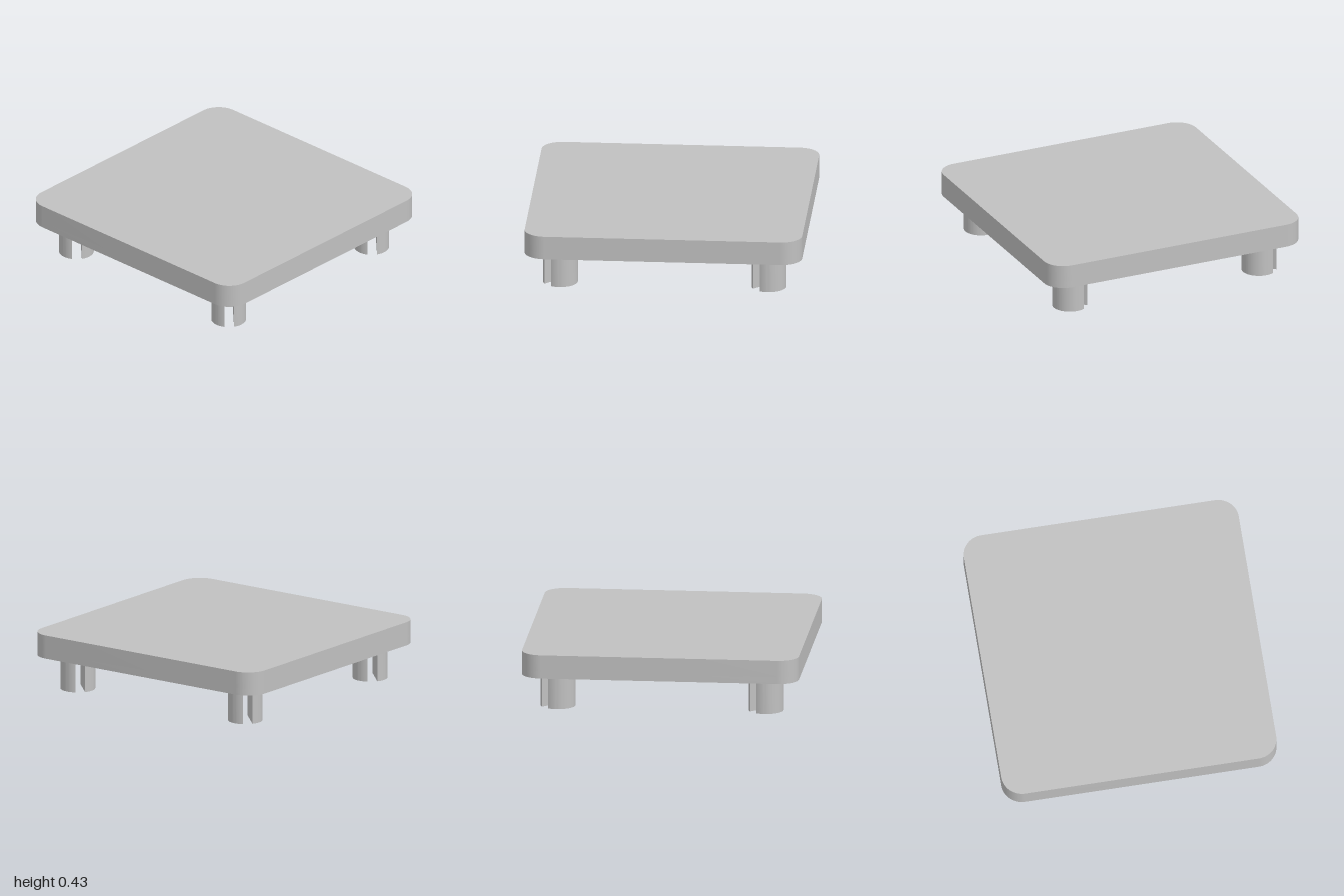
import * as THREE from 'three';
import { toCreasedNormals } from 'three/addons/utils/BufferGeometryUtils.js';

const LEG_HEIGHT = 0.255, RECESS_Y = 0.305, TOP_Y = 0.427;
const LEG_RADIUS = 0.125, SLOT_HALF = 0.035, LEG_OFFSET = 0.75;

// Extrude a plan outline upward from y0 to y1
function slab(shape, y0, y1) {
  const g = new THREE.ExtrudeGeometry(shape, { depth: y1 - y0, bevelEnabled: false, curveSegments: 20 });
  g.rotateX(-Math.PI / 2).translate(0, y0, 0);
  return toCreasedNormals(g, Math.PI / 6);
}

function roundedSquare(h, r) {
  const s = new THREE.Shape(), c = h - r;
  s.absarc(c, c, r, 0, Math.PI / 2);
  s.absarc(-c, c, r, Math.PI / 2, Math.PI);
  s.absarc(-c, -c, r, Math.PI, Math.PI * 1.5);
  s.absarc(c, -c, r, Math.PI * 1.5, Math.PI * 2);
  s.closePath();
  return s;
}

export function createModel() {
  const model = new THREE.Group();
  model.name = 'slottedLegPlate';
  const grey = new THREE.MeshStandardMaterial({ color: 0xc0c0c0 });
  grey.name = 'lightGrey';

  const add = (parent, name, geometry) => {
    const mesh = new THREE.Mesh(geometry, grey);
    mesh.name = name;
    parent.add(mesh);
    return mesh;
  };

  // Solid top and the rim around the shallow recess underneath
  add(model, 'topPlate', slab(roundedSquare(1, 0.15), RECESS_Y, TOP_Y));
  const rim = roundedSquare(1, 0.15);
  const h = 0.875;
  rim.holes.push(new THREE.Path([[-h, -h], [-h, h], [h, h], [h, -h]].map(([x, y]) => new THREE.Vector2(x, y))));
  add(model, 'rim', slab(rim, LEG_HEIGHT, RECESS_Y));

  // Each leg is two disc segments separated by a diagonal slot
  const slotAngle = Math.asin(SLOT_HALF / LEG_RADIUS);
  const halves = [Math.PI / 4, Math.PI * 1.25].map((start) => {
    const s = new THREE.Shape();
    s.absarc(0, 0, LEG_RADIUS, start + slotAngle, start + Math.PI - slotAngle);
    s.closePath();
    return slab(s, 0, RECESS_Y);
  });
  for (const [zName, z] of [['front', 1], ['back', -1]]) {
    for (const [xName, x] of [['Left', 1], ['Right', -1]]) {
      const leg = new THREE.Group();
      leg.name = `${zName}${xName}Leg`;
      leg.position.set(x * LEG_OFFSET, 0, z * LEG_OFFSET);
      halves.forEach((g, i) => add(leg, `legHalf${i + 1}`, g));
      model.add(leg);
    }
  }
  return model;
}
